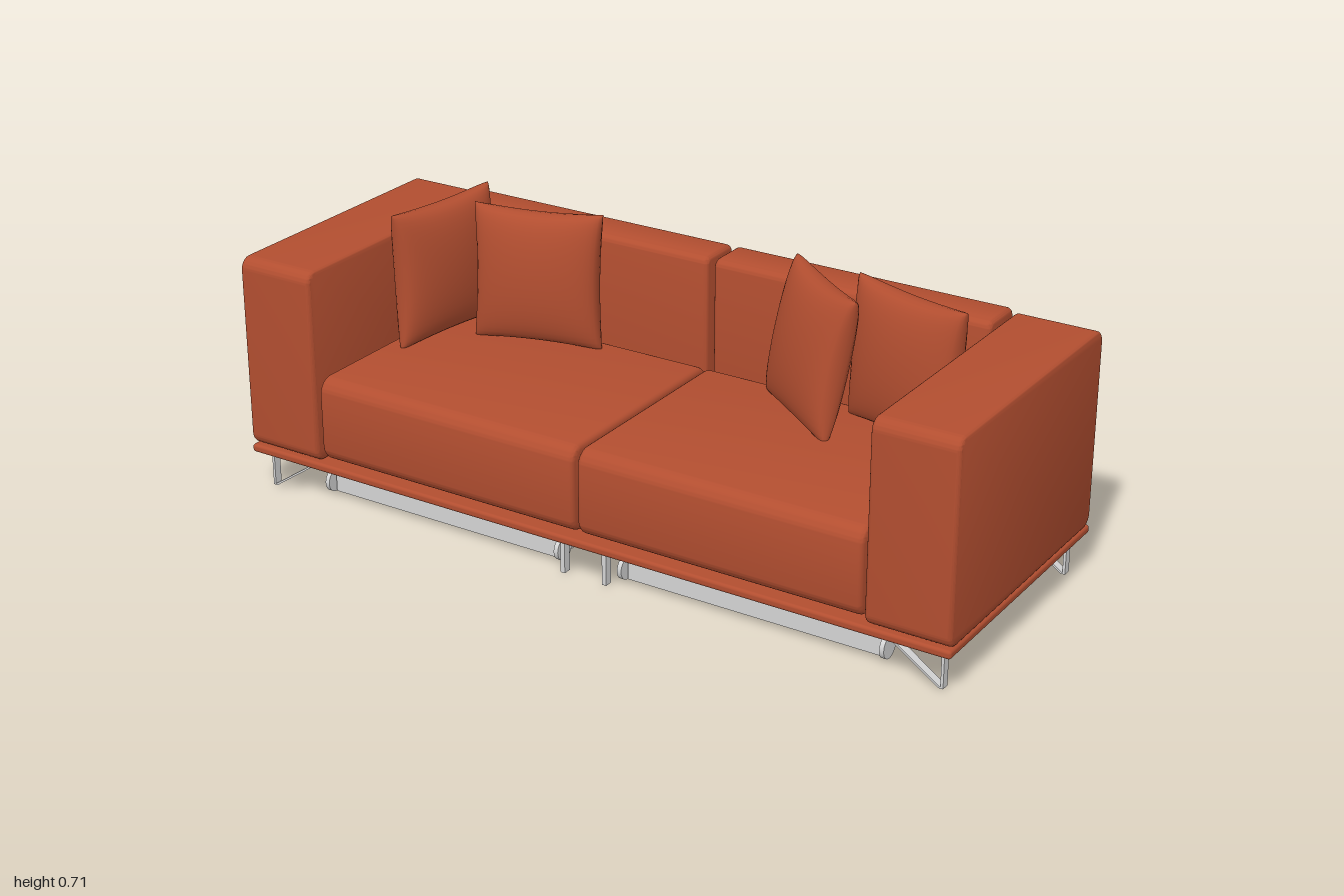
import * as THREE from 'three';
import { mergeVertices, toCreasedNormals } from 'three/addons/utils/BufferGeometryUtils.js';
import { RoundedBoxGeometry } from 'three/addons/geometries/RoundedBoxGeometry.js';

const fabric = new THREE.MeshStandardMaterial({ color: 0xb24e30 });
fabric.name = 'rust fabric';
const metal = new THREE.MeshStandardMaterial({ color: 0xd4d4d4 });
metal.name = 'pale metal';

function add(parent, name, geometry, material, x = 0, y = 0, z = 0) {
  const mesh = new THREE.Mesh(geometry, material);
  mesh.name = name;
  mesh.position.set(x, y, z);
  parent.add(mesh);
  return mesh;
}

// Upholstered block: side profile with corner radius r, extruded along x with a small bevel b
function upholstery(w, h, d, r, b) {
  const X = d / 2 - b, Y = h / 2 - b;
  const s = new THREE.Shape();
  s.moveTo(-X + r, -Y);
  s.lineTo(X - r, -Y);
  s.absarc(X - r, -Y + r, r, -Math.PI / 2, 0);
  s.lineTo(X, Y - r);
  s.absarc(X - r, Y - r, r, 0, Math.PI / 2);
  s.lineTo(-X + r, Y);
  s.absarc(-X + r, Y - r, r, Math.PI / 2, Math.PI);
  s.lineTo(-X, -Y + r);
  s.absarc(-X + r, -Y + r, r, Math.PI, Math.PI * 1.5);
  const g = new THREE.ExtrudeGeometry(s, {
    depth: w - 2 * b, bevelThickness: b, bevelSize: b, bevelSegments: 4, curveSegments: 8,
  });
  g.translate(0, 0, -w / 2 + b).rotateY(Math.PI / 2);
  return toCreasedNormals(g, 0.6);
}

// Scatter cushion: puffed middle, pinched corners and hollow sides
function cushionGeometry(w, h, t) {
  const g = new THREE.BoxGeometry(2, 2, 2, 20, 20, 1);
  g.deleteAttribute('normal');
  g.deleteAttribute('uv');
  const p = g.attributes.position;
  for (let i = 0; i < p.count; i++) {
    const u = Math.sin(p.getX(i) * Math.PI / 2), v = Math.sin(p.getY(i) * Math.PI / 2);
    const puff = Math.pow(Math.max(0, (1 - u * u) * (1 - v * v)), 0.36);
    p.setXYZ(i,
      u * w / 2 * (1 - 0.06 * (1 - v * v)),
      v * h / 2 * (1 - 0.06 * (1 - u * u)),
      Math.sign(p.getZ(i)) * t / 2 * puff);
  }
  const merged = mergeVertices(g, 1e-5);
  merged.computeVertexNormals();
  return merged;
}

// Flat shape in the x-y plane, extruded evenly about z = 0
function plate(points, depth, hole) {
  const s = new THREE.Shape(points.map(([x, y]) => new THREE.Vector2(x, y)));
  if (hole) s.holes.push(new THREE.Path(hole.map(([x, y]) => new THREE.Vector2(x, y))));
  return new THREE.ExtrudeGeometry(s, { depth, bevelEnabled: false }).translate(0, 0, -depth / 2);
}

export function createModel() {
  const sofa = new THREE.Group();
  sofa.name = 'sofa';

  add(sofa, 'basePlatform', new RoundedBoxGeometry(2, 0.022, 0.74, 3, 0.008), fabric, 0, 0.111, 0);

  const armGeo = upholstery(0.217, 0.511, 0.74, 0.022, 0.01);
  const backGeo = upholstery(0.76, 0.518, 0.128, 0.012, 0.012);
  const seatGeo = upholstery(0.766, 0.228, 0.608, 0.03, 0.014);
  const boxGeo = new THREE.BoxGeometry(0.69, 0.088, 0.51);
  const wheelGeo = new THREE.CylinderGeometry(0.03, 0.03, 0.012, 28).rotateZ(Math.PI / 2);
  // Bent guide rail, drawn in z-y and turned to run front to back
  const railGeo = plate([[-0.32, 0.08], [-0.25, 0.059], [0.21, 0.072], [0.21, 0.083],
    [-0.25, 0.071], [-0.32, 0.09]], 0.006).rotateY(Math.PI / 2);
  // Triangular corner leg of bent strip
  const legGeo = plate([[0.81, 0.1], [0.956, 0], [0.968, 0], [0.968, 0.1]], 0.022,
    [[0.826, 0.095], [0.961, 0.095], [0.961, 0.003]]);
  const postGeo = new THREE.BoxGeometry(0.012, 0.1, 0.022);

  for (const side of [-1, 1]) {
    const half = new THREE.Group();
    half.name = side > 0 ? 'leftHalf' : 'rightHalf';
    sofa.add(half);
    add(half, 'armrest', armGeo, fabric, side * 0.8905, 0.3775, 0);
    add(half, 'backrest', backGeo, fabric, side * 0.389, 0.381, -0.305);
    add(half, 'seatCushion', seatGeo, fabric, side * 0.388, 0.242, 0.062);

    // Under-seat drawer with its wheels and rails
    add(half, 'drawer', boxGeo, metal, side * 0.447, 0.054, 0.035);
    for (const end of [-1, 1]) {
      const x = side * 0.447 + end * 0.355;
      add(half, 'drawerWheel', wheelGeo, metal, x, 0.038, 0.285);
      add(half, 'drawerRail', railGeo, metal, side * 0.447 + end * 0.347, 0, 0);
    }

    // Corner legs and middle posts
    for (const z of [-0.325, 0.321]) {
      const leg = add(half, 'cornerLeg', legGeo, metal, 0, 0, z);
      if (side < 0) leg.rotation.y = Math.PI;
      add(half, 'middlePost', postGeo, metal, side * 0.06, 0.05, z);
    }
  }

  // Scatter cushions: x, y, z, turn, lean
  const cushionGeo = cushionGeometry(0.345, 0.36, 0.122);
  const places = [
    [-0.7, 0.532, -0.075, 1.43, -0.04],
    [-0.452, 0.532, -0.142, 0.27, -0.06],
    [0.355, 0.522, -0.128, -0.64, -0.2],
    [0.605, 0.532, -0.142, -0.28, -0.06],
  ];
  for (const [x, y, z, turn, lean] of places) {
    const cushion = add(sofa, 'scatterCushion', cushionGeo, fabric, x, y, z);
    cushion.rotation.set(lean, turn, 0, 'YXZ');
  }
  return sofa;
}
